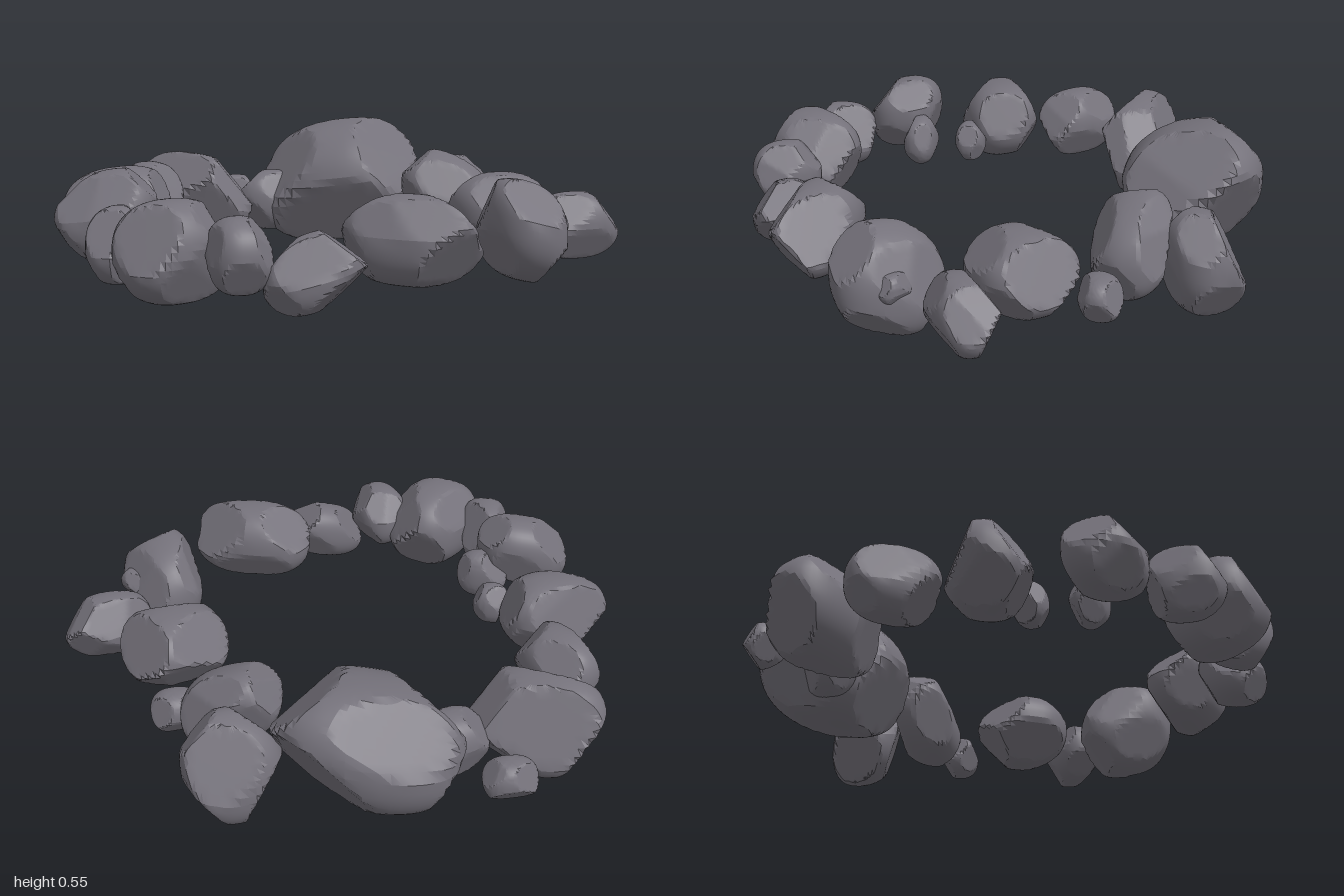
import * as THREE from 'three';
import { toCreasedNormals } from 'three/addons/utils/BufferGeometryUtils.js';

const material = new THREE.MeshStandardMaterial({ color: 0x75727b });
const UP = new THREE.Vector3(0, 1, 0);
const CHIPS = 9;

function seeded(seed) {
  let s = seed * 7919 + 17;
  return () => (s = (s * 16807) % 2147483647) / 2147483647;
}

// Fuller than a sphere: pushes a coordinate outwards, keeping its sign
const swell = t => Math.sign(t) * Math.pow(Math.abs(t), 0.82);

// A rounded body chipped flat by planes; half = half length, height and width,
// turn = heading of the long axis, lean = rise along x and z
function makeStone(seed, name, centre, half, turn, leanX = 0, leanZ = 0) {
  const random = seeded(seed);
  for (let i = 0; i < 5; i++) random();
  const geometry = new THREE.SphereGeometry(1, 56, 28);
  geometry.deleteAttribute('uv');
  const pos = geometry.attributes.position;
  const verts = [];
  for (let i = 0; i < pos.count; i++) {
    const v = new THREE.Vector3().fromBufferAttribute(pos, i);
    verts.push(v.set(swell(v.x), swell(v.y), swell(v.z)));
  }

  // Flat chips, alternating above and below
  const start = random() * Math.PI * 2;
  for (let k = 0; k < CHIPS; k++) {
    const angle = start + (k + random() * 0.6) * Math.PI * 3 / CHIPS;
    const rise = (k % 2 ? -1 : 1) * (0.3 + random() * 0.6);
    const n = new THREE.Vector3(Math.cos(angle), rise, Math.sin(angle)).normalize();
    const depth = (0.76 + random() * 0.12) * Math.max(...verts.map(v => v.dot(n)));
    for (const v of verts) {
      const reach = v.dot(n);
      if (reach > depth) v.multiplyScalar(depth / reach);
    }
  }

  // Size, heading and lean of the stone
  verts.forEach((v, i) => {
    v.multiply(new THREE.Vector3(...half)).applyAxisAngle(UP, turn);
    pos.setXYZ(i, v.x, v.y + v.x * leanX + v.z * leanZ, v.z);
  });

  const mesh = new THREE.Mesh(toCreasedNormals(geometry, 0.32), material);
  mesh.name = name;
  mesh.position.set(...centre);
  return mesh;
}

export function createModel() {
  const group = new THREE.Group();
  group.name = 'stoneRing';
  const stone = (...args) => group.add(makeStone(group.children.length + 1, ...args));

  // Back of the ring
  stone('largeBoulder', [0.51, 0.29, -0.45], [0.33, 0.24, 0.26], -0.95, 0.2);
  stone('backBoulder', [0, 0.225, -0.77], [0.25, 0.18, 0.155], -1.2, -0.2);
  stone('backPebble', [0.275, 0.2, -0.87], [0.095, 0.08, 0.07], -0.8);
  stone('backRoundStone', [0.27, 0.205, -0.6], [0.15, 0.125, 0.1], -0.5);
  stone('backRightStone', [-0.285, 0.265, -0.67], [0.17, 0.135, 0.115], 1.4);
  stone('backRightBoulder', [-0.55, 0.265, -0.47], [0.21, 0.155, 0.15], -0.5, 0.1);

  // Right side
  stone('innerPebble', [-0.475, 0.24, -0.24], [0.075, 0.08, 0.06], -1);
  stone('rightTallStone', [-0.78, 0.31, -0.16], [0.18, 0.145, 0.145], -0.8, 0.25);
  stone('rightPebble', [-0.61, 0.25, -0.09], [0.1, 0.1, 0.065], -1);
  stone('rightStone', [-0.88, 0.25, 0.1], [0.14, 0.13, 0.1], 0.7);
  stone('rightBoulder', [-0.8, 0.25, 0.31], [0.2, 0.17, 0.16], 0);

  // Front of the ring
  stone('frontRightSmallStone', [-0.69, 0.255, 0.52], [0.13, 0.125, 0.105], 1.2);
  stone('frontRightStone', [-0.5, 0.205, 0.675], [0.17, 0.12, 0.115], -0.5, 0.3);
  stone('frontBoulder', [-0.17, 0.28, 0.76], [0.24, 0.15, 0.14], -1.05);
  stone('frontTallStone', [0.28, 0.27, 0.815], [0.19, 0.175, 0.14], 1.2, -0.3);
  stone('frontPebble', [0.38, 0.29, 0.87], [0.06, 0.05, 0.04], 1.5);
  stone('frontLeftStone', [0.6, 0.25, 0.775], [0.17, 0.12, 0.105], -0.3);

  // Left side
  stone('frontLeftBoulder', [0.545, 0.27, 0.465], [0.195, 0.14, 0.18], -0.3);
  stone('leftPebble', [0.725, 0.17, 0.275], [0.09, 0.08, 0.075], -0.6);
  stone('leftBoulder', [0.66, 0.27, 0.05], [0.18, 0.155, 0.14], -0.9, 0, -0.35);
  stone('leftTallStone', [0.83, 0.2, -0.12], [0.175, 0.195, 0.14], -0.4, 0, 0.25);
  return group;
}
